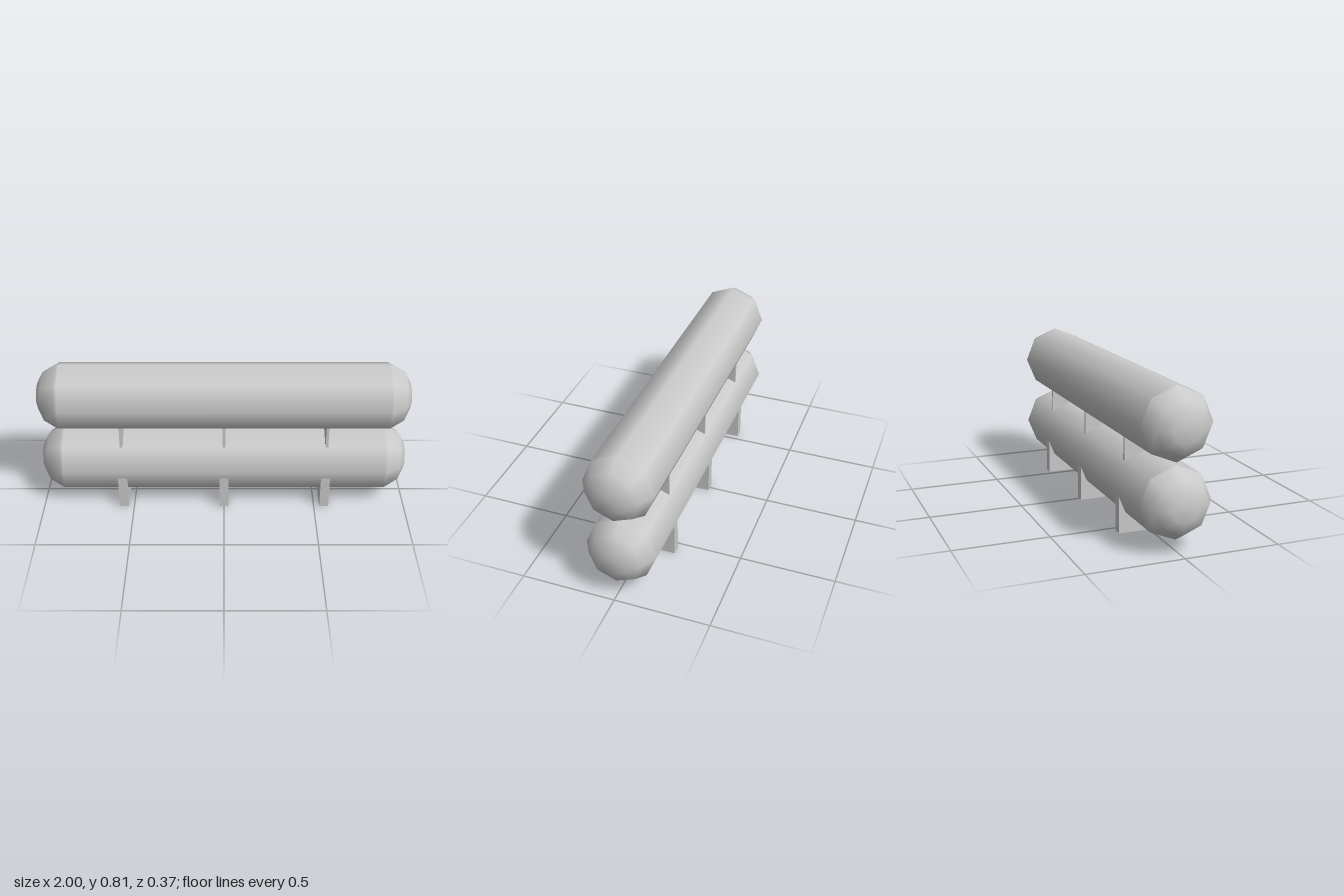
import * as THREE from 'three';

export function createModel() {
  const group = new THREE.Group();
  const material = new THREE.MeshStandardMaterial({ color: 0xcccccc });

  const add = (name, geometry, x, y) => {
    const mesh = new THREE.Mesh(geometry, material);
    mesh.name = name;
    mesh.position.set(x, y, 0);
    group.add(mesh);
    return mesh;
  };

  // Tank profile: half of it as [radius, distance from middle], mirrored
  const half = [[0.185, 0.875], [0.185, 0.887], [0.14, 0.963], [0.071, 0.998], [0, 1]];
  const profile = [
    ...[...half].reverse().map(([r, d]) => new THREE.Vector2(r, -d)),
    ...half.map(([r, d]) => new THREE.Vector2(r, d)),
  ];
  const tank = new THREE.LatheGeometry(profile, 8);
  tank.rotateZ(-Math.PI / 2);
  add('lowerTank', tank, 0, 0.24);
  add('upperTank', tank, 0, 0.624);

  // Feet under the lower tank and thin spacers between the tanks
  const foot = new THREE.BoxGeometry(0.05, 0.19, 0.328);
  const spacer = new THREE.BoxGeometry(0.015, 0.125, 0.26);
  ['right', 'middle', 'left'].forEach((side, i) => {
    const x = (i - 1) * 0.556;
    add(`${side}Foot`, foot, x, 0.095);
    add(`${side}Spacer`, spacer, x, 0.432);
  });

  return group;
}
